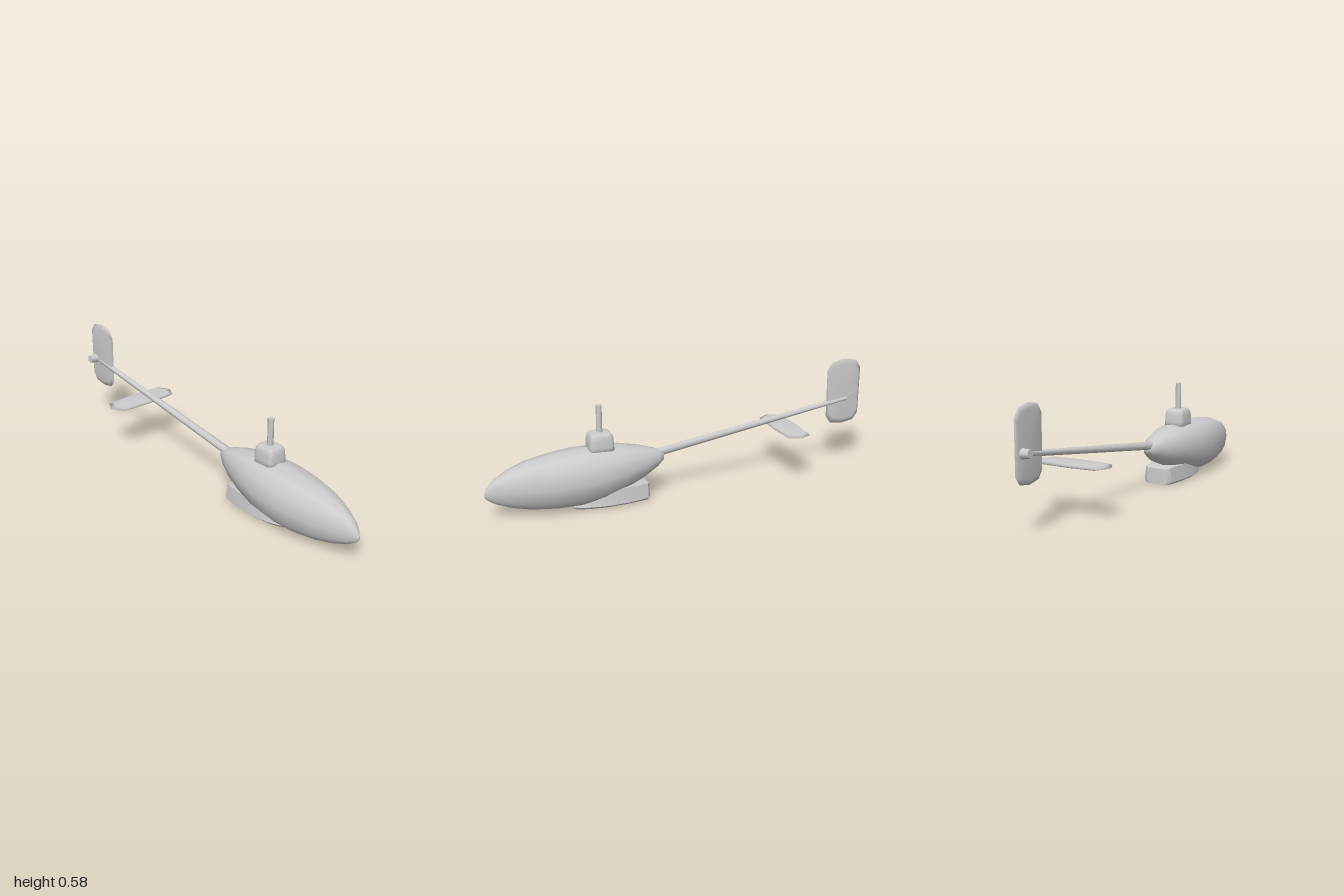
import * as THREE from 'three';
import { toCreasedNormals } from 'three/addons/utils/BufferGeometryUtils.js';

const material = new THREE.MeshStandardMaterial({ color: 0xcccccc });

function part(name, geometry) {
  const mesh = new THREE.Mesh(geometry, material);
  mesh.name = name;
  return mesh;
}

// Skin over rings of [x, y, z] points, closed at both ends.
// Each ring runs counter-clockwise seen from the end of the loft.
function loft(rings) {
  const n = rings[0].length;
  const points = rings.flat();
  const index = [];
  for (let i = 0; i < rings.length - 1; i++) {
    for (let j = 0; j < n; j++) {
      const k = (j + 1) % n;
      const a = i * n + j, b = i * n + k;
      index.push(a, b, b + n, a, b + n, a + n);
    }
  }
  const centre = (ring) => [0, 1, 2].map((c) => ring.reduce((s, p) => s + p[c], 0) / n);
  const last = (rings.length - 1) * n;
  const start = points.push(centre(rings[0])) - 1;
  const end = points.push(centre(rings[rings.length - 1])) - 1;
  for (let j = 0; j < n; j++) {
    const k = (j + 1) % n;
    index.push(start, k, j, end, last + j, last + k);
  }
  const g = new THREE.BufferGeometry();
  g.setAttribute('position', new THREE.Float32BufferAttribute(points.flat(), 3));
  g.setIndex(index);
  g.computeVertexNormals();
  return g;
}

// Slightly squared oval, 0.85 is a little fuller than an ellipse
function oval(n, power, place) {
  const soft = (v) => Math.sign(v) * Math.abs(v) ** power;
  return Array.from({ length: n }, (_, i) => {
    const t = (i / n) * Math.PI * 2;
    return place(soft(Math.cos(t)), soft(Math.sin(t)));
  });
}

// Thin blade with a sharp rim: outline in x/y, thickness along z
function blade(outline, halfThickness) {
  const ring = (s, z) => outline.map(([x, y]) => [x * s, y * s, z]);
  return loft([ring(0.85, -halfThickness), ring(1, 0), ring(0.85, halfThickness)]);
}

function rodBetween(from, to, r0, r1, sides) {
  const a = new THREE.Vector3(...from), b = new THREE.Vector3(...to);
  const dir = b.clone().sub(a);
  const g = new THREE.CylinderGeometry(r1, r0, dir.length(), sides);
  g.applyQuaternion(new THREE.Quaternion().setFromUnitVectors(new THREE.Vector3(0, 1, 0), dir.normalize()));
  const mid = a.add(b).multiplyScalar(0.5);
  return toCreasedNormals(g.translate(mid.x, mid.y, mid.z), 0.9);
}

export function createModel() {
  const model = new THREE.Group();

  // Fuselage stations: z, half width, bottom, top
  const stations = [
    [0.11, 0.026, 0.175, 0.22], [0.14, 0.045, 0.15, 0.237], [0.22, 0.082, 0.108, 0.262],
    [0.32, 0.112, 0.07, 0.283], [0.43, 0.132, 0.037, 0.293], [0.55, 0.138, 0.02, 0.293],
    [0.67, 0.127, 0.021, 0.283], [0.79, 0.1, 0.032, 0.264], [0.88, 0.069, 0.052, 0.235],
    [0.95, 0.038, 0.078, 0.199], [0.985, 0.015, 0.103, 0.16], [0.998, 0.003, 0.122, 0.133],
  ];
  model.add(part('fuselage', loft(stations.map(([z, w, lo, hi]) =>
    oval(12, 0.85, (c, s) => [c * w, (lo + hi) / 2 + s * (hi - lo) / 2, z])))));

  // Belly pod stations: z, half width, top; bevelled along the bottom
  const pod = [
    [0.2, 0.06, 0.085], [0.212, 0.078, 0.09], [0.32, 0.094, 0.092], [0.42, 0.095, 0.085],
    [0.51, 0.08, 0.055], [0.56, 0.06, 0.03], [0.58, 0.045, 0.022],
  ].map(([z, w, top]) => [
    [w * 0.83, 0.003, z], [w, 0.016, z], [w * 0.9, top, z],
    [-w * 0.9, top, z], [-w, 0.016, z], [-w * 0.83, 0.003, z],
  ]);
  model.add(part('bellyPod', toCreasedNormals(loft(pod), 0.6)));

  // Rotor housing: rounded square levels of y and scale
  const levels = [[0.265, 1], [0.3, 0.99], [0.335, 0.95], [0.353, 0.88], [0.362, 0.78], [0.366, 0.62]];
  model.add(part('rotorHousing', loft(levels.map(([y, s]) =>
    oval(20, 0.4, (c, d) => [c * 0.056 * s, y, 0.43 - d * 0.063 * s])))));
  model.add(part('rotorMast', rodBetween([0, 0.35, 0.43], [0, 0.5, 0.43], 0.015, 0.015, 8)));

  // Tail boom
  model.add(part('tailBoom', rodBetween([0, 0.212, 0.16], [0, 0.364, -0.92], 0.021, 0.013, 8)));

  // Upright tail fin
  const fin = part('tailFin', blade([
    [0.095, -0.125], [0.097, 0.12], [0.07, 0.163], [0, 0.177], [-0.07, 0.163],
    [-0.097, 0.12], [-0.095, -0.125], [-0.068, -0.163], [0, -0.175], [0.068, -0.163],
  ], 0.009));
  fin.rotation.y = Math.PI / 2;
  fin.position.set(0, 0.402, -0.9);
  model.add(fin);

  // Level stabiliser
  const stabiliser = part('stabiliser', blade([
    [0.195, 0], [0.165, 0.06], [0, 0.07], [-0.165, 0.06],
    [-0.195, 0], [-0.165, -0.06], [0, -0.07], [0.165, -0.06],
  ], 0.008));
  stabiliser.rotation.x = -Math.PI / 2;
  stabiliser.position.set(0, 0.255, -0.562);
  model.add(stabiliser);

  // Tail rotor hub through the fin
  model.add(part('tailRotorHub', rodBetween([0.012, 0.37, -0.955], [-0.05, 0.375, -0.955], 0.026, 0.02, 8)));

  return model;
}
